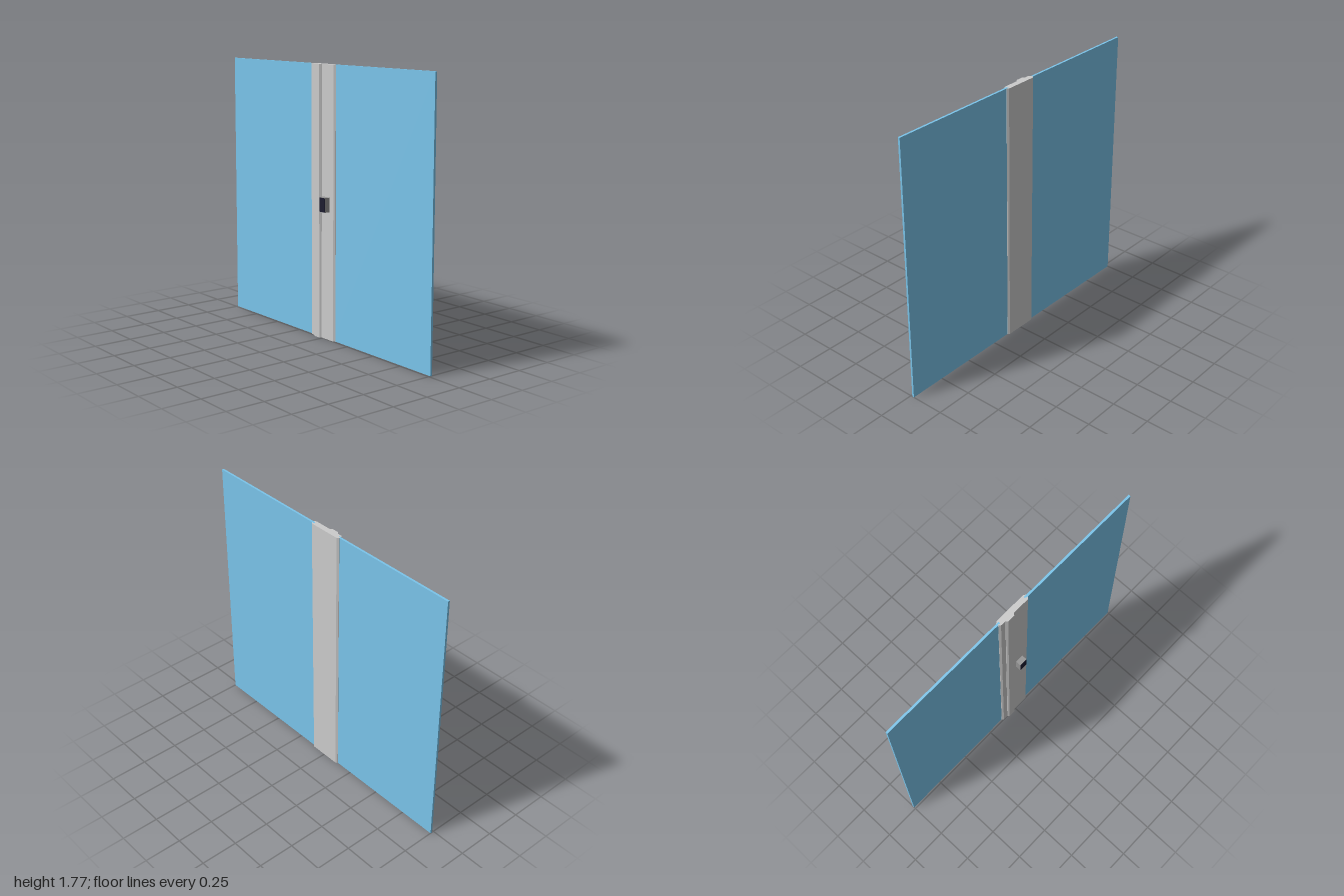
import * as THREE from 'three';

const HEIGHT = 1.775;

function mesh(name, geometry, color) {
  const m = new THREE.Mesh(geometry, new THREE.MeshStandardMaterial({ color }));
  m.name = name;
  return m;
}

// Box given by its limits on each axis
function box(name, color, [x0, x1], [y0, y1], [z0, z1]) {
  const m = mesh(name, new THREE.BoxGeometry(x1 - x0, y1 - y0, z1 - z0), color);
  m.position.set((x0 + x1) / 2, (y0 + y1) / 2, (z0 + z1) / 2);
  return m;
}

// Full-height bar from a plan outline of [x, z] points
function upright(name, points, color) {
  const shape = new THREE.Shape(points.map(([x, z]) => new THREE.Vector2(x, -z)));
  const geometry = new THREE.ExtrudeGeometry(shape, { depth: HEIGHT, bevelEnabled: false });
  geometry.rotateX(-Math.PI / 2);
  return mesh(name, geometry, color);
}

export function createModel() {
  const group = new THREE.Group();
  group.name = 'glassPartition';

  // Glass panes on both sides, seated in the post
  const glassZ = [-0.026, -0.012];
  group.add(
    box('rightPane', 0x7ac4ea, [-1, -0.11], [0, HEIGHT], glassZ),
    box('leftPane', 0x7ac4ea, [0.1, 1], [0, HEIGHT], glassZ)
  );

  // Central post with chamfered corners
  group.add(upright('post', [
    [-0.113, -0.037], [0.107, -0.037], [0.118, -0.028], [0.118, -0.01],
    [0.107, 0], [-0.115, 0], [-0.126, -0.01], [-0.126, -0.028],
  ], 0xcccccc));

  // Raised cover strip on the front of the post
  group.add(upright('coverStrip', [
    [-0.08, -0.002], [-0.08, 0.003], [-0.07, 0.013],
    [-0.02, 0.013], [-0.012, 0.003], [-0.012, -0.002],
  ], 0xcccccc));

  // Access reader: housing and dark front panel
  group.add(
    box('readerHousing', 0x949494, [0.01, 0.067], [0.842, 0.936], [-0.002, 0.036]),
    box('readerScreen', 0x1c1c30, [0.011, 0.066], [0.843, 0.935], [0.035, 0.037])
  );
  return group;
}
